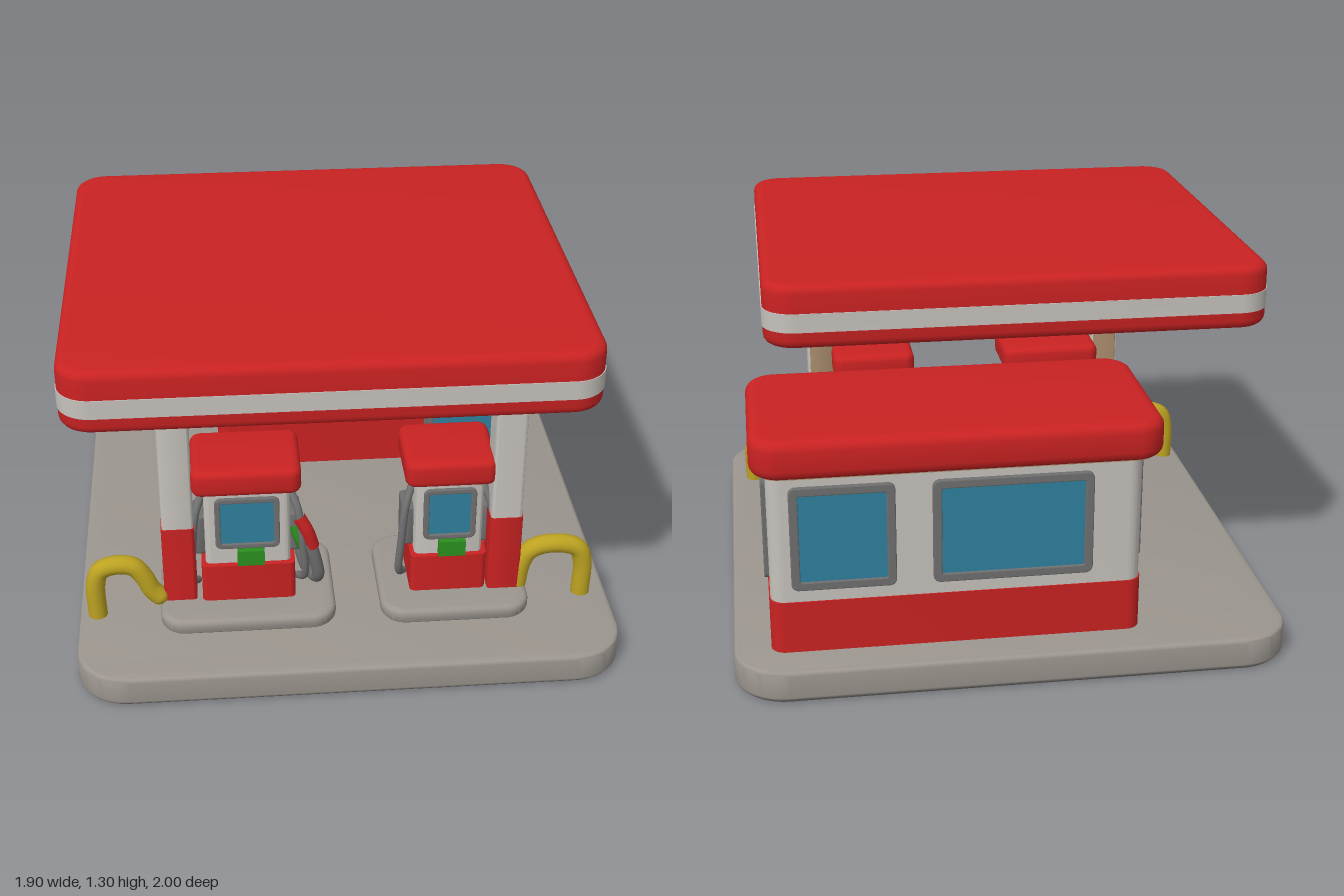
import * as THREE from 'three';
import { toCreasedNormals } from 'three/addons/utils/BufferGeometryUtils.js';

const paint = (name, color, side = THREE.FrontSide) => {
  const m = new THREE.MeshStandardMaterial({ color, side });
  m.name = name;
  return m;
};

export function createModel() {
  const red = paint('red', 0xca2222);
  const white = paint('offWhite', 0xc6c2bc);
  const concrete = paint('concrete', 0x9b958e);
  const grey = paint('metalGrey', 0x6f6f70);
  const glass = paint('glassBlue', 0x2f809e);
  const yellow = paint('yellow', 0xbda322);
  const green = paint('green', 0x2a8f1e);
  const tan = paint('tan', 0xa88c6c);
  const dark = paint('darkGrey', 0x4c4c4c);

  const model = new THREE.Group();
  model.name = 'fuelStation';

  const add = (parent, name, geometry, material) => {
    const mesh = new THREE.Mesh(geometry, material);
    mesh.name = name;
    parent.add(mesh);
    return mesh;
  };

  const roundRect = (w, h, r, Type = THREE.Shape) => {
    const s = new Type(), x = w / 2, y = h / 2;
    s.moveTo(-x + r, -y);
    s.lineTo(x - r, -y); s.absarc(x - r, -y + r, r, -Math.PI / 2, 0);
    s.lineTo(x, y - r); s.absarc(x - r, y - r, r, 0, Math.PI / 2);
    s.lineTo(-x + r, y); s.absarc(-x + r, y - r, r, Math.PI / 2, Math.PI);
    s.lineTo(-x, -y + r); s.absarc(-x + r, -y + r, r, Math.PI, Math.PI * 1.5);
    return s;
  };

  // Horizontal slab with rounded corners and softened top and bottom edges
  const slab = (parent, name, mat, [x0, x1], [y0, y1], [z0, z1], r, b = 0) => {
    const shape = roundRect(x1 - x0 - 2 * b, z1 - z0 - 2 * b, Math.max(r - b, 0.004));
    const geo = new THREE.ExtrudeGeometry(shape, {
      depth: y1 - y0 - 2 * b, bevelEnabled: b > 0, bevelSize: b, bevelThickness: b,
      bevelSegments: 4, curveSegments: 8,
    });
    geo.rotateX(-Math.PI / 2);
    geo.translate((x0 + x1) / 2, y0 + b, (z0 + z1) / 2);
    return add(parent, name, toCreasedNormals(geo, 0.7), mat);
  };

  const tube = (parent, name, mat, points, radius) => {
    const curve = new THREE.CatmullRomCurve3(points.map((p) => new THREE.Vector3(...p)));
    return add(parent, name, new THREE.TubeGeometry(curve, 40, radius, 12), mat);
  };

  // Framed pane facing +z in its own space, then turned to its wall
  const pane = (parent, name, w, h, pos, turn, f = 0.022) => {
    const g = new THREE.Group();
    g.name = name;
    const ring = roundRect(w, h, 0.02);
    ring.holes.push(roundRect(w - 2 * f, h - 2 * f, 0.01, THREE.Path));
    const frame = new THREE.ExtrudeGeometry(ring, {
      depth: 0.012, bevelEnabled: true, bevelSize: 0.004, bevelThickness: 0.004, bevelSegments: 2, curveSegments: 4,
    });
    add(g, 'frame', frame, grey);
    add(g, 'glass', new THREE.BoxGeometry(w - 2 * f, h - 2 * f, 0.008), glass).position.z = 0.004;
    g.position.set(...pos);
    g.rotation.y = turn;
    parent.add(g);
    return g;
  };

  // Ground plate
  slab(model, 'groundPlate', concrete, [-0.95, 0.95], [0.006, 0.115], [-1, 1], 0.18, 0.015);
  slab(model, 'groundUnderside', dark, [-0.935, 0.935], [0, 0.007], [-0.985, 0.985], 0.165);

  // Canopy: red slab, white stripe, tan ceiling
  const canopy = new THREE.Group();
  canopy.name = 'canopy';
  model.add(canopy);
  slab(canopy, 'canopySlab', red, [-0.93, 0.8], [1.08, 1.3], [-0.575, 0.985], 0.11, 0.03);
  slab(canopy, 'canopyStripe', white, [-0.933, 0.803], [1.14, 1.205], [-0.578, 0.988], 0.113);
  slab(canopy, 'canopyCeiling', tan, [-0.89, 0.76], [1.076, 1.09], [-0.535, 0.945], 0.08);

  // Canopy posts
  for (const [name, x, z] of [['rightPost', -0.588, 0.575], ['leftPost', 0.565, 0.595]]) {
    const post = new THREE.Group();
    post.name = name;
    model.add(post);
    slab(post, 'postShaft', white, [x - 0.055, x + 0.055], [0.46, 1.085], [z - 0.06, z + 0.06], 0.012);
    slab(post, 'postFoot', red, [x - 0.058, x + 0.058], [0.115, 0.47], [z - 0.063, z + 0.063], 0.012);
    slab(post, 'postBackFace', tan, [x - 0.046, x + 0.046], [0.47, 1.085], [z - 0.063, z - 0.057], 0.002);
  }

  // Shop building
  const shop = new THREE.Group();
  shop.name = 'shop';
  model.add(shop);
  slab(shop, 'shopWalls', white, [-0.43, 0.82], [0.29, 0.78], [-0.86, -0.32], 0.05);
  slab(shop, 'shopSkirt', red, [-0.434, 0.824], [0.11, 0.3], [-0.864, -0.316], 0.05);
  slab(shop, 'shopEaves', tan, [-0.433, 0.823], [0.745, 0.775], [-0.863, -0.317], 0.05);
  slab(shop, 'shopRoof', red, [-0.49, 0.87], [0.765, 0.9], [-0.94, -0.27], 0.1, 0.035);
  slab(shop, 'shopCeiling', tan, [-0.46, 0.84], [0.761, 0.767], [-0.91, -0.3], 0.07);

  // Windows as centre x, width
  pane(shop, 'frontWindow', 0.58, 0.36, [0.02, 0.53, -0.32], 0);
  pane(shop, 'backWindowWide', 0.53, 0.36, [0.01, 0.53, -0.86], Math.PI);
  pane(shop, 'backWindowNarrow', 0.34, 0.36, [0.575, 0.53, -0.86], Math.PI);
  pane(shop, 'leftWindow', 0.34, 0.36, [0.82, 0.53, -0.6], Math.PI / 2);
  pane(shop, 'rightWindow', 0.34, 0.36, [-0.43, 0.53, -0.6], -Math.PI / 2);

  // Glazed door with cross bar and handles
  const door = pane(shop, 'door', 0.32, 0.595, [0.565, 0.415, -0.313], 0, 0.03);
  add(door, 'crossBar', new THREE.BoxGeometry(0.27, 0.03, 0.016), grey).position.set(0, -0.06, 0.008);
  for (const s of [-1, 1]) {
    add(door, 'handle', new THREE.BoxGeometry(0.03, 0.1, 0.034), grey).position.set(s * 0.135, -0.015, 0.015);
  }

  // Fuel pumps, each on its own island
  const makePump = (name, x, z, w) => {
    const pump = new THREE.Group();
    pump.name = name;
    pump.position.set(x, 0, z);
    model.add(pump);
    const h = w / 2;
    slab(pump, 'skirt', red, [-h, h], [0.165, 0.315], [-0.13, 0.13], 0.02);
    slab(pump, 'body', white, [-h + 0.015, h - 0.015], [0.31, 0.62], [-0.11, 0.11], 0.02);
    slab(pump, 'cap', red, [-h - 0.025, h + 0.025], [0.61, 0.71], [-0.145, 0.145], 0.04, 0.025);
    // Screen and green keypad on both faces
    for (const turn of [0, Math.PI]) {
      const face = new THREE.Group();
      face.name = turn ? 'backFace' : 'frontFace';
      face.rotation.y = turn;
      pump.add(face);
      pane(face, 'screen', w * 0.66, 0.2, [0, 0.485, 0.106], 0, 0.012);
      add(face, 'keypad', new THREE.BoxGeometry(0.095, 0.06, 0.035), green).position.set(0.01, 0.35, 0.122);
    }
    // Nozzle holsters and hoses on both sides
    for (const s of [-1, 1]) {
      slab(pump, 'holster', grey, s < 0 ? [-h - 0.025, -h + 0.02] : [h - 0.02, h + 0.025],
        [0.32, 0.48], [-0.06, 0.06], 0.015, 0.01);
      tube(pump, 'hose', grey, [[s * (h - 0.01), 0.56, 0.03], [s * (h + 0.015), 0.5, 0.07],
        [s * (h + 0.03), 0.36, 0.085], [s * (h + 0.035), 0.22, 0.07], [s * (h + 0.015), 0.19, 0.03]], 0.014);
    }
    return pump;
  };
  slab(model, 'rightIsland', concrete, [-0.66, -0.04], [0.11, 0.168], [0.29, 0.77], 0.09, 0.02);
  slab(model, 'leftIsland', concrete, [0.12, 0.65], [0.11, 0.168], [0.29, 0.77], 0.09, 0.02);
  const rightPump = makePump('rightPump', -0.345, 0.52, 0.33);
  makePump('leftPump', 0.365, 0.52, 0.27);

  // Hanging nozzle with red grip and green guard, plus its long hose
  tube(rightPump, 'nozzleGuard', green, [[0.17, 0.43, 0.05], [0.185, 0.38, 0.06], [0.2, 0.34, 0.06]], 0.024);
  tube(rightPump, 'nozzleGrip', red, [[0.18, 0.48, 0.08], [0.21, 0.42, 0.085], [0.23, 0.35, 0.08]], 0.024);
  tube(rightPump, 'nozzleHose', grey, [[0.22, 0.37, 0.08], [0.24, 0.29, 0.08], [0.25, 0.22, 0.07],
    [0.24, 0.19, 0.04], [0.21, 0.22, 0.02], [0.18, 0.33, 0]], 0.022);

  // Yellow guard rails
  const rails = [
    ['rightGuardRail', [[-0.885, 0.11], [-0.885, 0.25], [-0.865, 0.305], [-0.81, 0.325], [-0.75, 0.315],
      [-0.715, 0.27], [-0.69, 0.215], [-0.665, 0.185]]],
    ['leftGuardRail', [[0.855, 0.11], [0.855, 0.25], [0.835, 0.305], [0.78, 0.328], [0.7, 0.325],
      [0.655, 0.3], [0.632, 0.25], [0.62, 0.165]]],
  ];
  for (const [name, pts] of rails) {
    tube(model, name, yellow, pts.map(([x, y]) => [x, y, 0.625]), 0.034);
    const [ex, ey] = pts[pts.length - 1];
    add(model, name + 'End', new THREE.SphereGeometry(0.034, 12, 8), yellow).position.set(ex, ey, 0.625);
  }

  return model;
}
